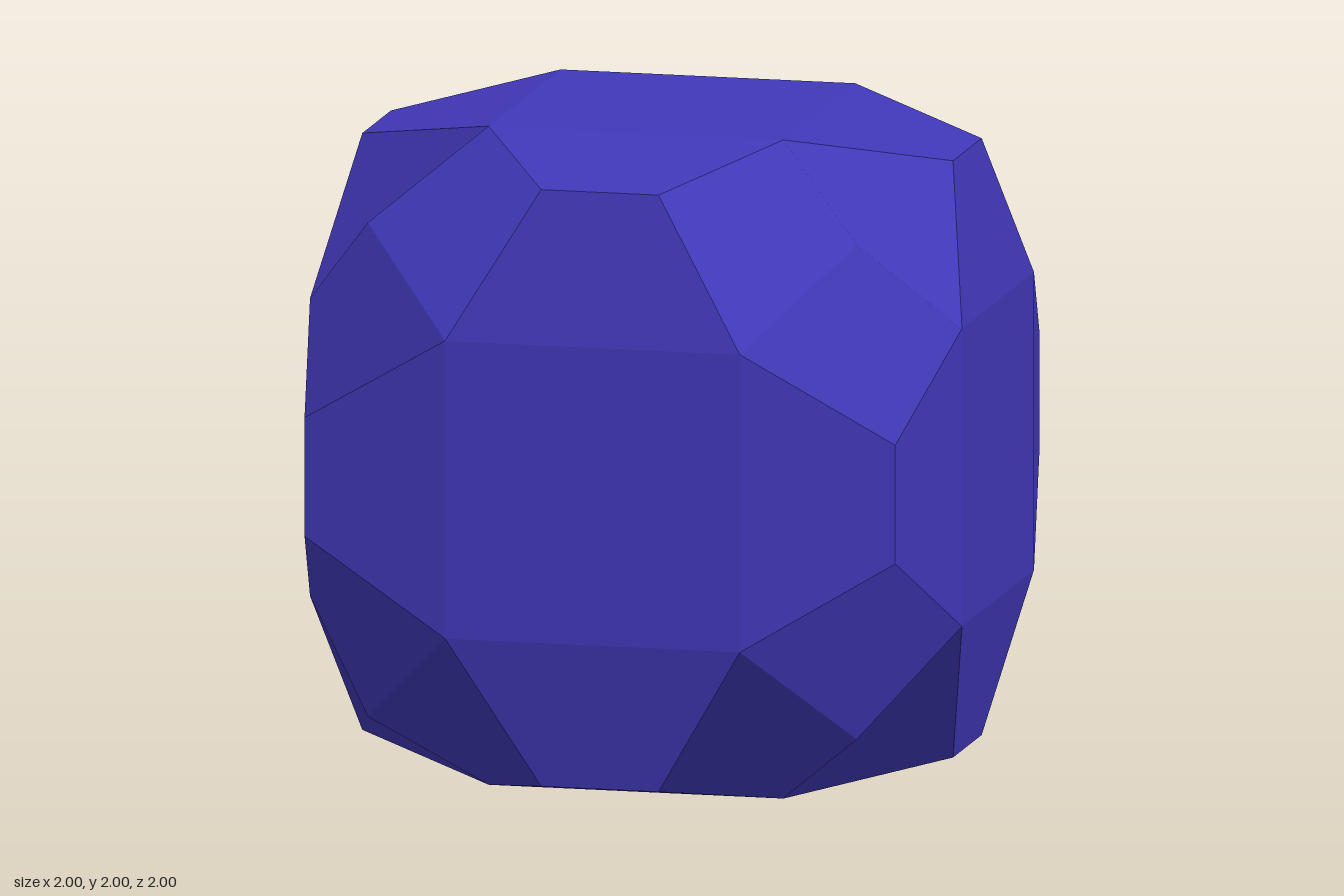
import * as THREE from 'three';

// Key distances from the centre
const A = 0.452; // half side of each flat square panel
const P = 0.906, Q = 0.18; // bevel edge: distance out, half length
const C = 0.75; // corner tip

// Point with value w on the given axis, u and v on the next two
function place(axis, w, u, v) {
  const p = new THREE.Vector3();
  p.setComponent(axis, w);
  p.setComponent((axis + 1) % 3, u);
  p.setComponent((axis + 2) % 3, v);
  return p;
}

// Builds facets, each facing outward with one shading normal
function facetMesh(name, quads, material) {
  const positions = [], normals = [];
  for (const quad of quads) {
    let [a, b, c, d] = quad;
    const facing = () => c.clone().sub(a).cross(d.clone().sub(b)).normalize();
    const centre = a.clone().add(b).add(c).add(d);
    if (facing().dot(centre) < 0) [b, d] = [d, b];
    const n = facing();
    for (const p of [a, b, c, a, c, d]) {
      positions.push(p.x, p.y, p.z);
      normals.push(n.x, n.y, n.z);
    }
  }
  const geometry = new THREE.BufferGeometry();
  geometry.setAttribute('position', new THREE.Float32BufferAttribute(positions, 3));
  geometry.setAttribute('normal', new THREE.Float32BufferAttribute(normals, 3));
  const mesh = new THREE.Mesh(geometry, material);
  mesh.name = name;
  mesh.position.y = 1;
  return mesh;
}

export function createModel() {
  const group = new THREE.Group();
  group.name = 'facetedBlock';
  const material = new THREE.MeshStandardMaterial({ color: 0x4038b8 });
  const signs = [-1, 1];

  // Six square panels, each with four sloping flaps
  const panels = [], flaps = [];
  for (let axis = 0; axis < 3; axis++) {
    for (const s of signs) {
      panels.push([[-A, -A], [A, -A], [A, A], [-A, A]].map(([u, v]) => place(axis, s, u, v)));
      for (const t of signs) {
        flaps.push([place(axis, s, t * A, -A), place(axis, s, t * A, A),
          place(axis, s * P, t * P, Q), place(axis, s * P, t * P, -Q)]);
        flaps.push([place(axis, s, -A, t * A), place(axis, s, A, t * A),
          place(axis, s * P, Q, t * P), place(axis, s * P, -Q, t * P)]);
      }
    }
  }

  // Eight raised corners, each of three folded kites meeting at the tip
  const corners = [];
  for (const x of signs) for (const y of signs) for (const z of signs) {
    const octant = new THREE.Vector3(x, y, z);
    const at = (axis, w, r) => place(axis, w, r, r).multiply(octant);
    for (let axis = 0; axis < 3; axis++) {
      corners.push([at((axis + 1) % 3, 1, A), at(axis, Q, P), at((axis + 2) % 3, 1, A), at(axis, C, C)]);
    }
  }

  group.add(
    facetMesh('squarePanels', panels, material),
    facetMesh('slopingFlaps', flaps, material),
    facetMesh('raisedCorners', corners, material),
  );
  return group;
}
